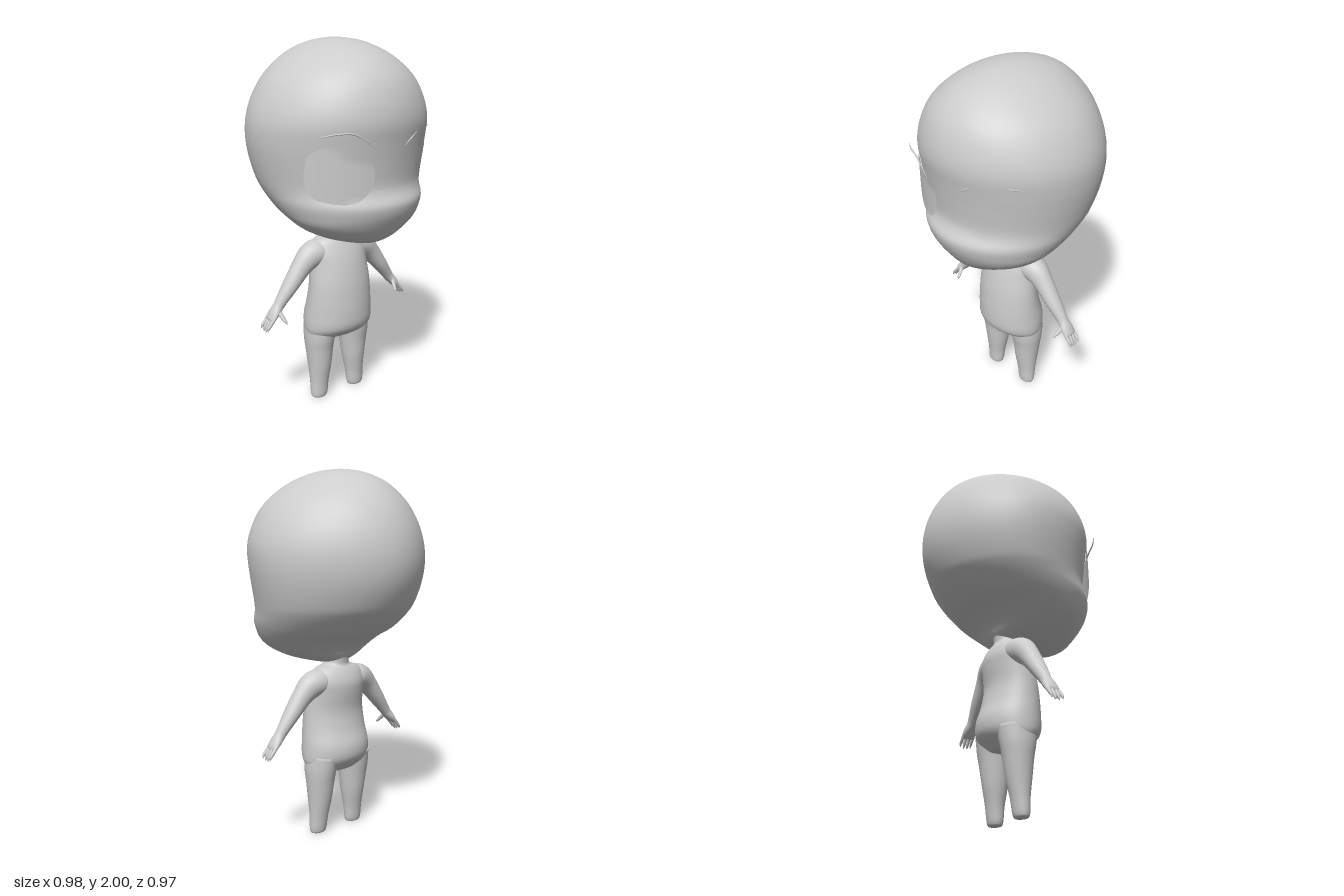
import * as THREE from 'three';

const skin = new THREE.MeshStandardMaterial({ color: 0xcccccc, side: THREE.DoubleSide });
skin.name = 'plain grey';

// Smooth loft through elliptical sections [x, y, z, radius, depthRadius]; s mirrors x.
function loft(name, sections, s = 1, steps = 40, sides = 40) {
  const centre = new THREE.CatmullRomCurve3(
    sections.map(p => new THREE.Vector3(p[0] * s, p[1], p[2])), false, 'catmullrom', 0.5);
  const radii = new THREE.CatmullRomCurve3(
    sections.map(p => new THREE.Vector3(p[3], p[4], 0)), false, 'catmullrom', 0.5);
  const pos = [], idx = [];
  for (let i = 0; i <= steps; i++) {
    const c = centre.getPoint(i / steps), r = radii.getPoint(i / steps);
    const t = centre.getTangent(i / steps);
    const len = Math.hypot(t.x, t.y) || 1;
    for (let j = 0; j < sides; j++) {
      const a = j / sides * Math.PI * 2, u = Math.cos(a) * Math.max(r.x, 0.0005);
      pos.push(c.x - t.y / len * u, c.y + t.x / len * u, c.z + Math.sin(a) * Math.max(r.y, 0.0005));
    }
  }
  const first = centre.getPoint(0), last = centre.getPoint(1), n = (steps + 1) * sides;
  pos.push(first.x, first.y, first.z, last.x, last.y, last.z);
  for (let j = 0; j < sides; j++) {
    const k = (j + 1) % sides;
    for (let i = 0; i < steps; i++) {
      const a = i * sides + j, b = i * sides + k;
      idx.push(a, b, a + sides, b, b + sides, a + sides);
    }
    idx.push(n, k, j, n + 1, steps * sides + j, steps * sides + k);
  }
  return finish(name, pos, idx);
}

function finish(name, pos, idx) {
  const g = new THREE.BufferGeometry();
  g.setAttribute('position', new THREE.Float32BufferAttribute(pos, 3));
  g.setIndex(idx);
  g.computeVertexNormals();
  const mesh = new THREE.Mesh(g, skin);
  mesh.name = name;
  return mesh;
}

// Upright sections [y, halfWidth, frontZ, backZ, centreX]
const upright = rows => rows.map(([y, w, f, b, x = 0]) => [x, y, (f + b) / 2, w, (f - b) / 2]);

// Thin curved plate: a rounded outline filled with rings, depth given by zAt(x, y)
function plate(name, outline, zAt) {
  const curve = new THREE.CatmullRomCurve3(
    outline.map(p => new THREE.Vector3(p[0], p[1], 0)), true);
  const rim = curve.getPoints(40).slice(0, 40), rings = 8, pos = [], idx = [];
  const mid = rim.reduce((m, p) => m.addScaledVector(p, 1 / 40), new THREE.Vector3());
  for (let i = 0; i <= rings; i++) for (const p of rim) {
    const q = mid.clone().lerp(p, Math.max(i / rings, 0.01));
    pos.push(q.x, q.y, zAt(q.x, q.y));
  }
  for (let i = 0; i < rings; i++) for (let j = 0; j < 40; j++) {
    const a = i * 40 + j, b = i * 40 + (j + 1) % 40;
    idx.push(a, a + 40, b, b, a + 40, b + 40);
  }
  return finish(name, pos, idx);
}

export function createModel() {
  const model = new THREE.Group();
  model.name = 'bigHeadedFigure';

  // Head: chin, muzzle, brow and dome
  const head = loft('head', upright([
    [0.962, 0.03, 0.23, 0.02], [0.968, 0.09, 0.31, -0.02], [1.0, 0.2, 0.38, -0.06],
    [1.05, 0.3, 0.42, -0.09], [1.1, 0.36, 0.45, -0.15], [1.15, 0.395, 0.472, -0.25],
    [1.2, 0.42, 0.478, -0.32], [1.25, 0.438, 0.452, -0.375], [1.3, 0.453, 0.442, -0.415],
    [1.4, 0.476, 0.452, -0.462], [1.5, 0.49, 0.467, -0.484], [1.6, 0.487, 0.482, -0.482],
    [1.7, 0.455, 0.47, -0.458], [1.8, 0.395, 0.432, -0.41], [1.88, 0.31, 0.365, -0.345],
    [1.94, 0.22, 0.275, -0.265], [1.98, 0.125, 0.165, -0.16], [1.996, 0.05, 0.07, -0.07],
    [2.0, 0.001, 0.001, -0.001]]), 1, 72, 64);
  const hp = head.geometry.attributes.position;
  for (let i = 0; i < hp.count; i++) {
    const z = Math.min(hp.getZ(i), 0);
    hp.setX(i, hp.getX(i) * (1 - 0.8 * z * z)); // narrower towards the back
  }
  head.geometry.computeVertexNormals();
  model.add(head);

  // Eyes and brows follow the face surface
  const ray = new THREE.Raycaster(), ahead = new THREE.Vector3(0, 0, -1);
  const faceZ = (x, y) => {
    ray.set(new THREE.Vector3(x, y, 2), ahead);
    const hit = ray.intersectObject(head)[0];
    return hit ? hit.point.z : 0.2;
  };
  model.add(plate('rightEye', [[-0.41, 1.33], [-0.38, 1.26], [-0.25, 1.222], [-0.17, 1.24],
    [-0.12, 1.29], [-0.105, 1.4], [-0.2, 1.475], [-0.32, 1.5], [-0.395, 1.465], [-0.41, 1.4]],
  (x, y) => Math.max(faceZ(x, y) + 0.004, 0.455 - 0.95 * x * x)));
  model.add(plate('leftEye', [[0.085, 1.33], [0.12, 1.28], [0.18, 1.25], [0.3, 1.28],
    [0.355, 1.33], [0.36, 1.4], [0.335, 1.46], [0.2, 1.45], [0.11, 1.42], [0.08, 1.37]],
  (x, y) => faceZ(x, y) + 0.004));
  const brow = (name, pts) => model.add(loft(name, pts.map(([x, y, z], i) => {
    const r = i === 0 || i === pts.length - 1 ? 0.001 : 0.004;
    return [x, y, z ?? faceZ(x, y) + 0.002, r, r];
  }), 1, 16, 8));
  brow('rightBrow', [[-0.405, 1.545, 0.35], [-0.31, 1.568, 0.415], [-0.22, 1.562, 0.45], [-0.12, 1.492, 0.475]]);
  brow('leftBrowInner', [[0.08, 1.49], [0.125, 1.52], [0.17, 1.548]]);
  brow('leftBrowOuter', [[0.32, 1.56], [0.34, 1.556], [0.365, 1.546]]);

  // Torso with round belly, hips and neck
  model.add(loft('torso', upright([
    [0.352, 0.03, 0.03, -0.03], [0.36, 0.12, 0.07, -0.055], [0.385, 0.185, 0.12, -0.085],
    [0.42, 0.204, 0.163, -0.118], [0.46, 0.207, 0.182, -0.135], [0.52, 0.204, 0.185, -0.134],
    [0.6, 0.196, 0.181, -0.108], [0.7, 0.187, 0.17, -0.09], [0.8, 0.178, 0.15, -0.1],
    [0.86, 0.177, 0.132, -0.102], [0.91, 0.165, 0.11, -0.085], [0.94, 0.135, 0.095, -0.066],
    [0.955, 0.085, 0.086, -0.055], [0.98, 0.066, 0.08, -0.055], [1.03, 0.062, 0.07, -0.068],
    [1.09, 0.07, 0.06, -0.11]]), 1, 64, 48));

  for (const [side, s] of [['left', 1], ['right', -1]]) {
    // Leg tapering to a blunt foot
    model.add(loft(side + 'Leg', upright([
      [0, 0.036, 0.048, -0.004, 0.13], [0.006, 0.046, 0.057, -0.013, 0.13],
      [0.03, 0.052, 0.062, -0.02, 0.13], [0.1, 0.056, 0.067, -0.031, 0.127],
      [0.2, 0.068, 0.082, -0.052, 0.122], [0.3, 0.078, 0.094, -0.07, 0.121],
      [0.37, 0.084, 0.108, -0.085, 0.12], [0.45, 0.088, 0.12, -0.1, 0.112]]), s));

    // Arm and palm
    model.add(loft(side + 'Arm', [
      [0.07, 0.875, 0.01, 0.045, 0.06], [0.13, 0.87, 0.01, 0.07, 0.075],
      [0.185, 0.85, 0.013, 0.071, 0.068], [0.24, 0.803, 0.015, 0.057, 0.054],
      [0.315, 0.713, 0.016, 0.043, 0.046], [0.365, 0.65, 0.015, 0.034, 0.035],
      [0.392, 0.615, 0.015, 0.029, 0.031], [0.418, 0.585, 0.016, 0.025, 0.039],
      [0.442, 0.556, 0.015, 0.017, 0.039], [0.452, 0.544, 0.015, 0.006, 0.03]], s));

    // Thumb and four fingers
    model.add(loft(side + 'Thumb', [
      [0.408, 0.605, 0.03, 0.012, 0.014], [0.4, 0.575, 0.055, 0.013, 0.013],
      [0.391, 0.548, 0.078, 0.009, 0.01], [0.387, 0.535, 0.088, 0.002, 0.003]], s, 12, 12));
    for (let i = 0; i < 4; i++) {
      const z = -0.016 + i * 0.021, d = i === 0 || i === 3 ? 0.008 : 0;
      model.add(loft(side + 'Finger' + (i + 1), [
        [0.432, 0.568, z, 0.009, 0.008], [0.458, 0.538, z, 0.01, 0.0085],
        [0.474, 0.51 + d, z, 0.008, 0.0075], [0.481, 0.492 + d, z, 0.002, 0.002]], s, 12, 12));
    }
  }
  return model;
}
